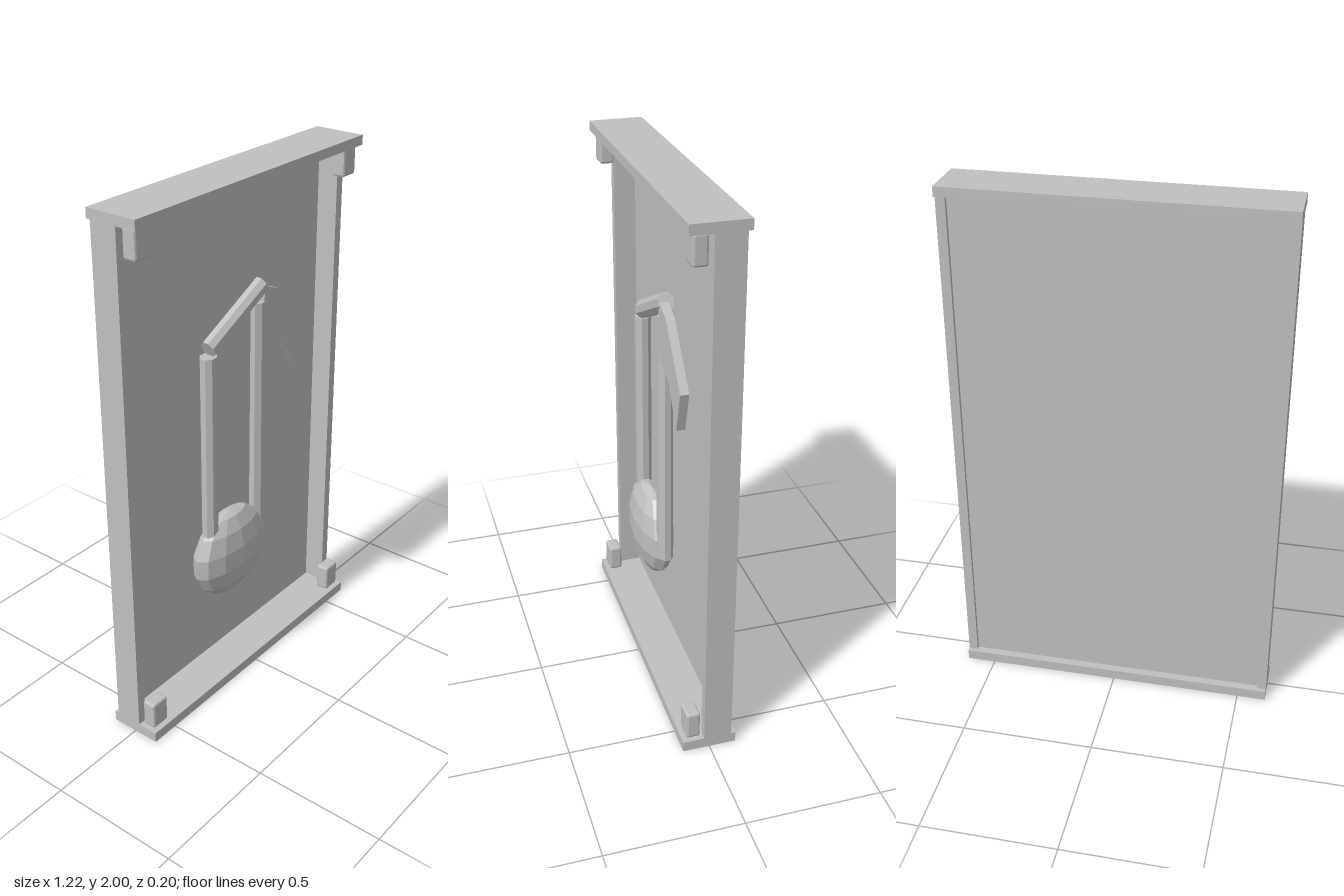
import * as THREE from 'three';
import { RoundedBoxGeometry } from 'three/addons/geometries/RoundedBoxGeometry.js';

export function createModel() {
  const group = new THREE.Group();
  const grey = new THREE.MeshStandardMaterial({ color: 0xc0c0c0, flatShading: true });
  grey.name = 'plain grey';

  const add = (name, geometry, x, y, z) => {
    const mesh = new THREE.Mesh(geometry, grey);
    mesh.name = name;
    mesh.position.set(x, y, z);
    group.add(mesh);
    return mesh;
  };
  const box = (name, w, h, d, x, y, z) => add(name, new THREE.BoxGeometry(w, h, d), x, y, z);

  // Shallow tray: wide end rails, narrower side rails and a recessed panel
  box('topRail', 1.22, 0.036, 0.2, 0, 1.982, 0);
  box('bottomRail', 1.22, 0.04, 0.2, 0, 0.02, 0);
  box('panel', 1.15, 1.926, 0.006, 0, 1.002, -0.066);
  for (const side of [-1, 1]) {
    box('sideRail', 0.035, 1.926, 0.104, side * 0.5925, 1.002, -0.032);
    // Small bevelled corner blocks
    for (const y of [0.096, 1.911]) {
      add('cornerBlock', new RoundedBoxGeometry(0.076, 0.106, 0.052, 1, 0.008), side * 0.558, y, 0.057);
    }
  }

  // Flattened faceted bar between two points in the front plane
  const bar = (name, [x1, y1], [x2, y2], r1, r2) => {
    const length = Math.hypot(x2 - x1, y2 - y1);
    const geometry = new THREE.CylinderGeometry(r2, r1, length, 8);
    geometry.rotateY(Math.PI / 8);
    geometry.scale(1.08, 1, 0.03 / r1);
    const mesh = add(name, geometry, (x1 + x2) / 2, (y1 + y2) / 2, 0.02);
    mesh.rotation.z = -Math.atan2(x2 - x1, y2 - y1);
  };
  bar('leftStem', [-0.183, 0.55], [-0.183, 1.385], 0.032, 0.032);
  bar('rightStem', [0.106, 0.515], [0.104, 1.5], 0.04, 0.036);
  bar('beam', [-0.183, 1.41], [0.117, 1.557], 0.033, 0.033);

  // Flattened faceted note head
  const head = new THREE.SphereGeometry(1, 12, 7);
  head.scale(0.202, 0.179, 0.073);
  add('noteHead', head, -0.073, 0.543, 0.023);

  // Bent flag plate
  const flag = new THREE.Shape([
    [0.105, 1.56], [0.122, 1.554], [0.196, 1.523], [0.36, 1.321],
    [0.319, 1.167], [0.223, 1.31], [0.133, 1.347], [0.105, 1.35],
  ].map(([x, y]) => new THREE.Vector2(x, y)));
  add('flag', new THREE.ExtrudeGeometry(flag, { depth: 0.032, bevelEnabled: false }), 0, 0, 0.012);

  return group;
}
